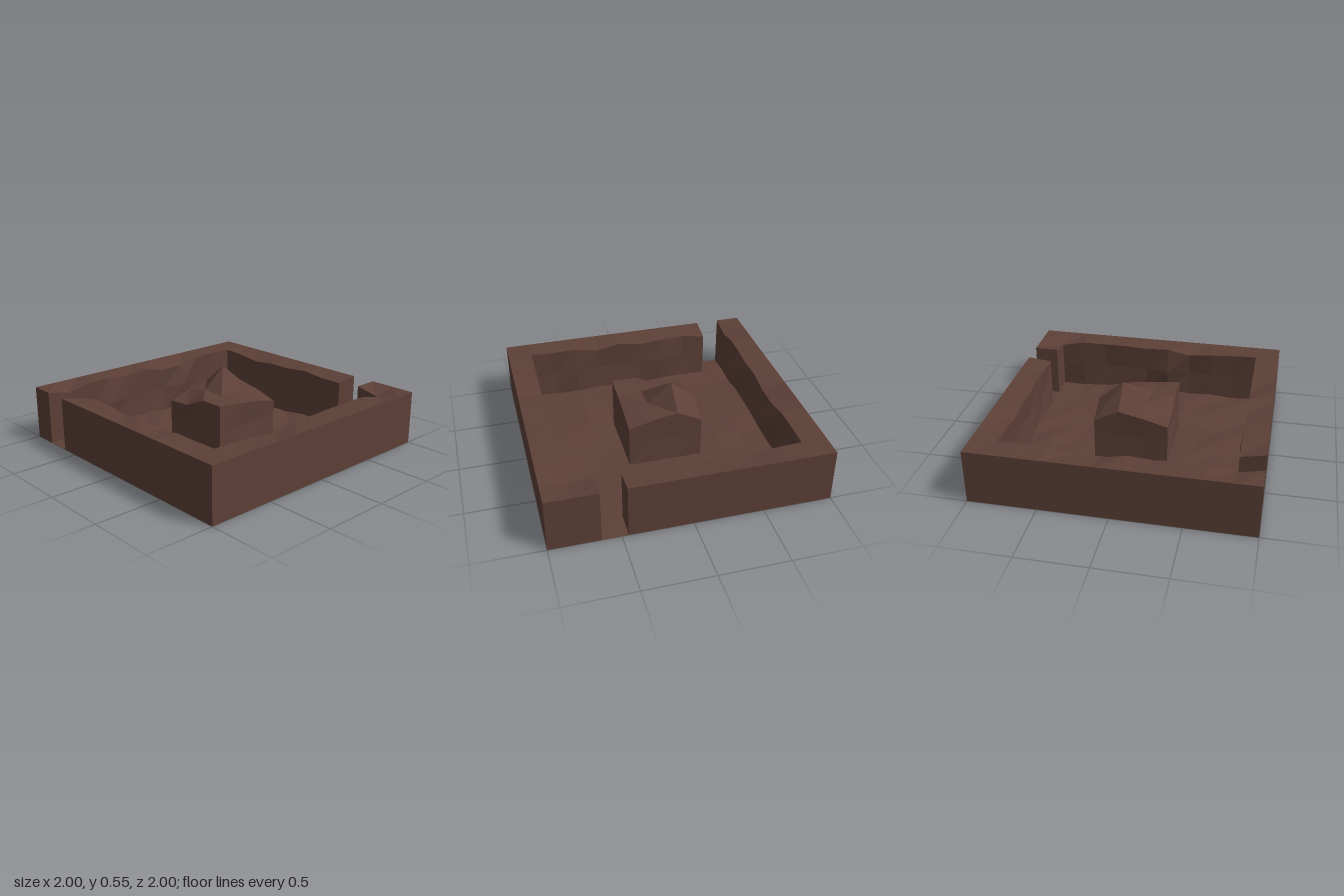
import * as THREE from 'three';

const N = 11, CELL = 2 / N, TOP = 0.4;

// Height of the 4 x 4 corner points on top of the central block, back row first
const CREST = [
  [0.31, 0.40, 0.37, 0.32],
  [0.40, 0.55, 0.40, 0.36],
  [0.36, 0.40, 0.39, 0.38],
  [0.31, 0.32, 0.40, 0.40],
];

// Places where the rough inner wall face bulges into the court (grid point: amount)
const BULGE = { '1,4': 0.03, '1,8': 0.03, '10,6': 0.03, '10,2': 0.01, '4,10': 0.02, '8,10': 0.01 };

const hash = (i, j, k) => {
  const s = Math.sin(i * 12.9898 + j * 78.233 + k * 37.719) * 43758.5453;
  return s - Math.floor(s);
};

// Kind of each cell: outer wall with two gaps, central block, or floor
function kind(i, j) {
  if (i < 0 || j < 0 || i >= N || j >= N) return 'outside';
  if (i >= 4 && i <= 6 && j >= 4 && j <= 6) return 'block';
  const rim = i === 0 || j === 0 || i === N - 1 || j === N - 1;
  const gap = (j === N - 1 && i === 1) || (j === 0 && i === 8);
  return rim && !gap ? 'wall' : 'floor';
}
const raised = (i, j) => ['wall', 'block'].includes(kind(i, j));
const onEdge = (i, j) => i === 0 || j === 0 || i === N || j === N;
const inBlock = (i, j) => i >= 4 && i <= 7 && j >= 4 && j <= 7;

// Roughened vertex at a grid point; level 0 = ground, 1 = mid wall, 2 = top
function point(i, j, level, d = [0, 0]) {
  let x = i * CELL - 1, z = j * CELL - 1, y = level * TOP / 2;
  if (onEdge(i, j)) return [x, y, z];
  if (level === 2) {
    y = inBlock(i, j) ? CREST[j - 4][i - 4] : TOP - 0.045 * hash(i, j, 1) ** 2;
  } else if (level === 0) {
    if (!inBlock(i, j)) y = 0.03 * hash(i, j, 2) ** 2;
  } else {
    const around = [[0, 0], [-1, 0], [0, -1], [-1, -1]]
      .filter(([a, b]) => raised(i + a, j + b)).length;
    if (around === 2) {
      const push = BULGE[`${i},${j}`] ?? -0.02 * hash(i, j, 3);
      x += d[0] * push;
      z += d[1] * push;
    }
  }
  return [x, y, z];
}

export function createModel() {
  const group = new THREE.Group();
  const material = new THREE.MeshStandardMaterial({
    color: 0x5d4037, flatShading: true, side: THREE.DoubleSide,
  });
  const parts = { floor: [], wall: [], block: [] };
  const quad = (list, a, b, c, d) => list.push(...a, ...b, ...c, ...a, ...c, ...d);

  for (let i = 0; i < N; i++) for (let j = 0; j < N; j++) {
    const type = kind(i, j), list = parts[type];
    const level = type === 'floor' ? 0 : 2;

    // Floor or top surface of the cell
    quad(list, point(i, j, level), point(i, j + 1, level),
      point(i + 1, j + 1, level), point(i + 1, j, level));
    if (type === 'floor') continue;

    // Upright faces towards every lower neighbour, in two courses; undersides stay open
    for (const d of [[1, 0], [-1, 0], [0, 1], [0, -1]]) {
      const [dx, dz] = d;
      if (raised(i + dx, j + dz)) continue;
      const cx = i + 0.5 + dx / 2, cz = j + 0.5 + dz / 2;
      const p = [cx - dz / 2, cz + dx / 2], q = [cx + dz / 2, cz - dx / 2];
      for (const k of [0, 1]) {
        quad(list, point(...p, k, d), point(...q, k, d),
          point(...q, k + 1, d), point(...p, k + 1, d));
      }
    }
  }

  const names = { floor: 'courtFloor', wall: 'outerWalls', block: 'centralRock' };
  for (const key in parts) {
    const geometry = new THREE.BufferGeometry();
    geometry.setAttribute('position', new THREE.Float32BufferAttribute(parts[key], 3));
    geometry.computeVertexNormals();
    const mesh = new THREE.Mesh(geometry, material);
    mesh.name = names[key];
    group.add(mesh);
  }
  return group;
}
